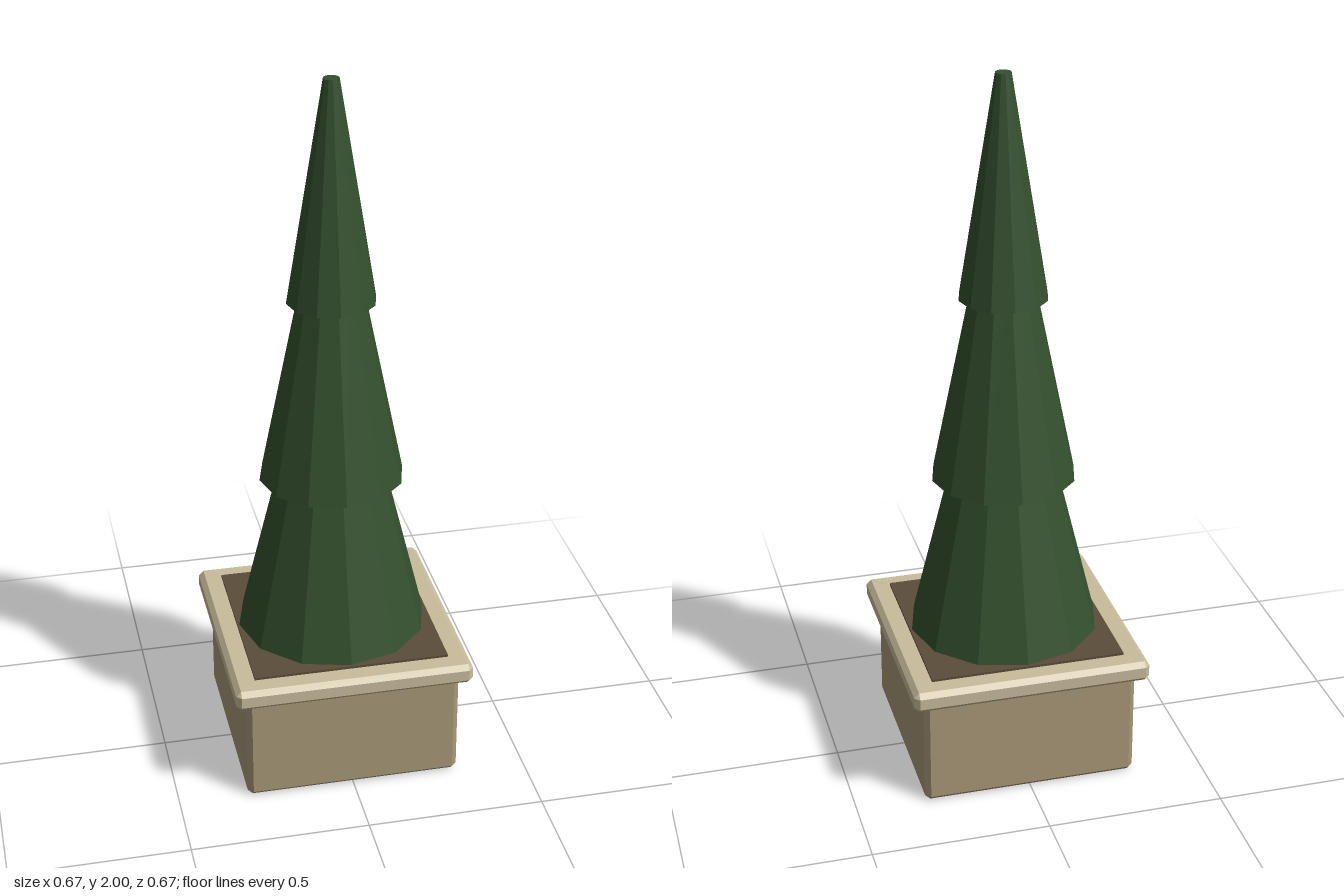
import * as THREE from 'three';
import { ConvexGeometry } from 'three/addons/geometries/ConvexGeometry.js';

const material = (name, color, flatShading = false) => {
  const m = new THREE.MeshStandardMaterial({ color, flatShading });
  m.name = name;
  return m;
};

// Box standing from y0 to y1 with every edge chamfered by c
function chamferedBox(half, y0, y1, c) {
  const points = [];
  const mid = (y0 + y1) / 2, h = (y1 - y0) / 2;
  for (const sx of [-1, 1]) for (const sy of [-1, 1]) for (const sz of [-1, 1]) {
    for (const [a, b, d] of [[0, c, c], [c, 0, c], [c, c, 0]]) {
      points.push(new THREE.Vector3(sx * (half - a), mid + sy * (h - b), sz * (half - d)));
    }
  }
  return new ConvexGeometry(points);
}

export function createModel() {
  const group = new THREE.Group();
  group.name = 'pottedConifer';
  const stone = material('planter stone', 0xa89878);
  const rimStone = material('rim stone', 0xc8bc9c);
  const earth = material('soil', 0x5c4d3a);
  const foliage = material('foliage', 0x34502e, true);

  const add = (name, geometry, mat) => {
    const mesh = new THREE.Mesh(geometry, mat);
    mesh.name = name;
    group.add(mesh);
    return mesh;
  };

  // Square planter with an overhanging rim
  add('planterBody', chamferedBox(0.305, 0, 0.335, 0.015), stone);
  add('planterRim', chamferedBox(0.337, 0.315, 0.375, 0.014), rimStone);
  add('soil', new THREE.BoxGeometry(0.552, 0.03, 0.552), earth).position.y = 0.367;

  // Stacked twelve-sided tiers: bottom y, top y, bottom radius, top radius
  const tiers = [
    ['lowerTier', 0.375, 0.95, 0.272, 0.13],
    ['middleTier', 0.85, 1.48, 0.204, 0.075],
    ['topTier', 1.38, 2, 0.124, 0.022],
  ];
  for (const [name, y0, y1, r0, r1] of tiers) {
    add(name, new THREE.CylinderGeometry(r1, r0, y1 - y0, 12), foliage).position.y = (y0 + y1) / 2;
  }
  return group;
}
